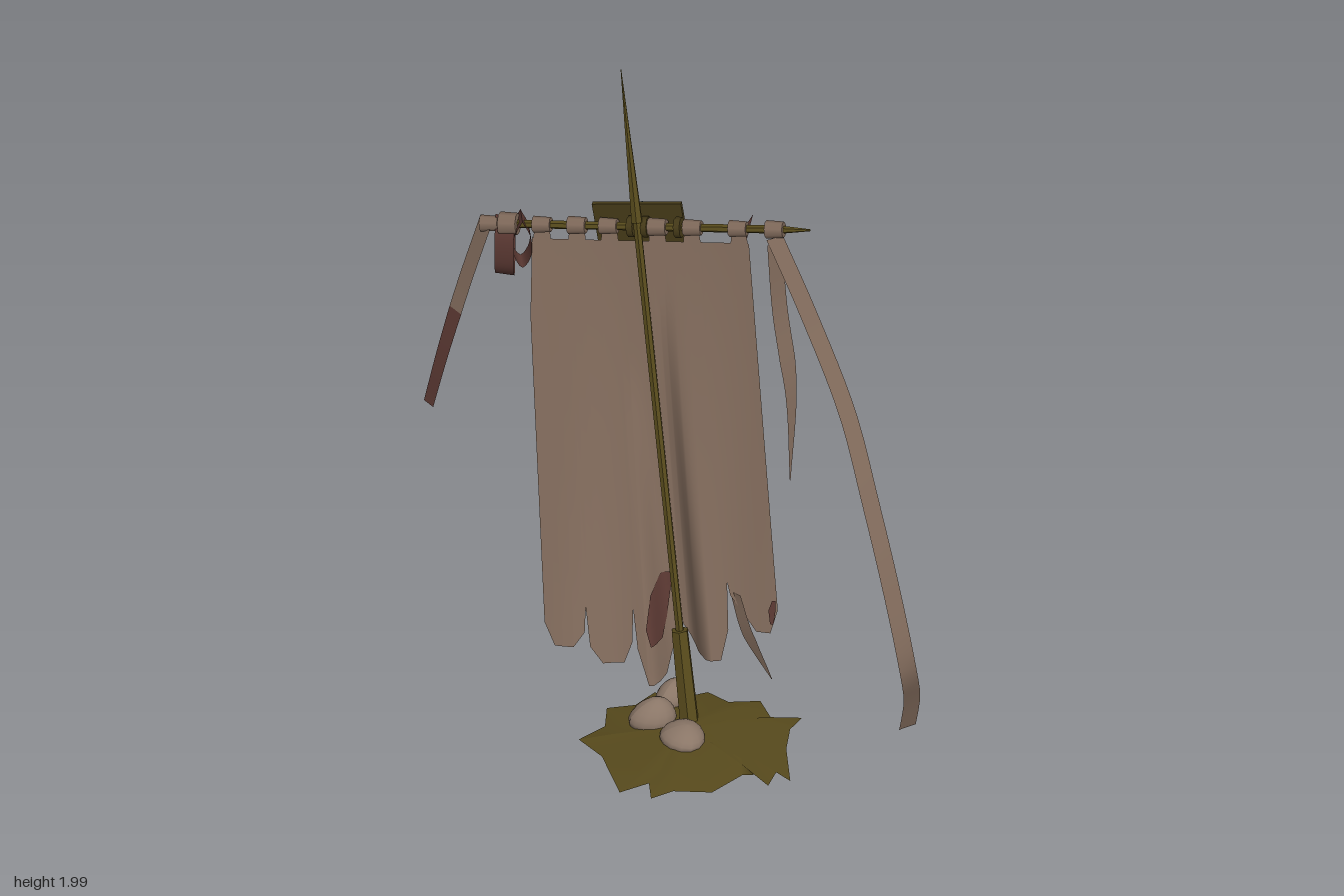
import * as THREE from 'three';

const mat = (name, color, extra = {}) => {
  const m = new THREE.MeshStandardMaterial({ color, ...extra });
  m.name = name;
  return m;
};
const two = { side: THREE.DoubleSide };
const cloth = mat('cloth', 0x7f695a, two);
const red = mat('dark red cloth', 0x5a3832, two);
const wood = mat('wood', 0x584b1c, { flatShading: true });
const grass = mat('grass', 0x56491c, two);
const stone = mat('stone', 0x8a7667);
const cover = mat('board frame', 0x453a18);
const tan = mat('parchment', 0xcda866);
const blue = mat('blue', 0x3f6a98);

const V = (x, y, z) => new THREE.Vector3(x, y, z);
const lerp = THREE.MathUtils.lerp;
const UP = V(0, 1, 0);

function add(parent, name, geo, material) {
  const m = new THREE.Mesh(geo, material);
  m.name = name;
  parent.add(m);
  return m;
}

// Straight tapered rod between two points
function rod(parent, name, a, b, r0, r1, material, sides = 6) {
  const d = b.clone().sub(a);
  const m = add(parent, name, new THREE.CylinderGeometry(r1, r0, d.length(), sides), material);
  m.position.copy(a).addScaledVector(d, 0.5);
  m.quaternion.setFromUnitVectors(UP, d.normalize());
}

// Surface from rows of points
function grid(rows) {
  const n = rows[0].length, pos = [], idx = [];
  rows.forEach((row, i) => row.forEach((p, j) => {
    pos.push(p.x, p.y, p.z);
    if (i && j) {
      const d = i * n + j, c = d - 1, b = d - n, a = b - 1;
      idx.push(a, b, c, b, d, c);
    }
  }));
  const g = new THREE.BufferGeometry();
  g.setAttribute('position', new THREE.Float32BufferAttribute(pos, 3));
  g.setIndex(idx);
  g.computeVertexNormals();
  return g;
}

// Flat band along a curve; the width direction swings from w0 to w1
function ribbon(parent, name, pts, w0, w1, material, tip = 1, from = 0, to = 1) {
  const curve = new THREE.CatmullRomCurve3(pts.map(p => V(...p)));
  const rows = [];
  for (let i = 0; i <= 28; i++) {
    const t = lerp(from, to, i / 28), p = curve.getPointAt(t);
    const w = V(...w0).lerp(V(...w1), t).multiplyScalar(0.5 * (t > 0.5 ? lerp(1, tip, t * 2 - 1) : 1));
    rows.push([p.clone().sub(w), p.clone().add(w)]);
  }
  add(parent, name, grid(rows), material);
}

// Crossbar and leaning pole lines
const barAt = x => V(x, 1.528 + 0.152 * x, -0.275 + 0.2 * x);
const poleAt = y => V(0.062 - 0.111 * y, y, 0.04 - 0.207 * y);

// Depth of the hanging cloth, pressed back behind the pole
function clothZ(x, y) {
  const top = 1.46 + 0.15 * x;
  const t = THREE.MathUtils.clamp((top - y) / (top - 0.3), -0.1, 1.1);
  const z = lerp(-0.28 + 0.2 * x, 0.055 - 0.05 * Math.max(0, x), t) + 0.01 * Math.sin(x * 21 + 1) * t;
  const p = poleAt(y), k = Math.exp(-(((x - p.x) / 0.06) ** 4));
  return lerp(z, Math.min(z, p.z - 0.014), k);
}
const leftX = y => -0.41 + Math.max(0, 1.2 - y) * 0.07;
const rightX = y => 0.21 + (1.5 - y) * 0.09;

function sample(profile, u) {
  for (let i = 1; i < profile.length; i++) {
    const [a, ya] = profile[i - 1], [b, yb] = profile[i];
    if (u <= b) return lerp(ya, yb, (u - a) / (b - a));
  }
  return profile[profile.length - 1][1];
}

function clothGeometry() {
  // Torn lower edge: position across, height
  const hem = [[0, .37], [.04, .31], [.12, .31], [.17, .35], [.18, .42], [.19, .31], [.24, .26], [.33, .26],
    [.37, .32], [.38, .42], [.39, .3], [.43, .2], [.5, .2], [.54, .28], [.555, .4], [.58, .33], [.64, .27],
    [.74, .27], [.78, .36], [.79, .5], [.8, .46], [.9, .36], [.96, .36], [1, .43]];
  // Upper edge: drop below the crossbar, with tabs
  const head = [[0, .05]];
  for (const c of [.05, .21, .36, .58, .74, .96])
    head.push([c - .045, .055], [c - .035, .005], [c + .025, .005], [c + .035, .055]);
  head.push([1, .06]);
  const us = [...hem, ...head].map(p => p[0]);
  for (let i = 0; i <= 40; i++) us.push(i / 40);
  const cols = [...new Set(us)].filter(u => u <= 1).sort((a, b) => a - b);
  return grid(cols.map(u => {
    const y0 = sample(hem, u), y1 = barAt(lerp(-0.41, 0.21, u)).y - sample(head, u);
    return Array.from({ length: 33 }, (_, j) => {
      const y = lerp(y0, y1, j / 32), x = lerp(leftX(y), rightX(y), u);
      return V(x, y, clothZ(x, y));
    });
  }));
}

// Thin blot or patch following the cloth at an offset, from rows of [y, x from, x to]
function overlay(parent, name, spans, material, off) {
  const rows = [];
  for (let i = 1; i < spans.length; i++) for (let k = 0; k <= 4; k++) {
    const [y, a, b] = spans[i - 1].map((v, n) => lerp(v, spans[i][n], k / 4));
    rows.push(Array.from({ length: 17 }, (_, j) => {
      const x = lerp(a, b, j / 16);
      return V(x, y, clothZ(x, y) + off);
    }));
  }
  add(parent, name, grid(rows), material);
}

function buildBase(root) {
  const base = new THREE.Group();
  base.name = 'base';
  root.add(base);
  // Ragged grass sheet
  const rim = [[-.25, .12], [-.18, .2], [-.12, .375], [-.04, .325], [-.03, .4], [.03, .36], [.14, .36], [.22, .27],
    [.28, .25], [.295, .3], [.315, .22], [.355, .25], [.335, .1], [.34, 0], [.37, -.07], [.29, -.02], [.25, -.1],
    [.16, -.09], [.1, -.135], [.02, -.1], [-.05, -.125], [-.1, -.06], [-.18, -.04], [-.18, .05]];
  const ring = s => [...rim, rim[0]].map(([x, z]) =>
    V(lerp(0.05, x, s), 0.06 - s * s * (0.026 + Math.max(0, x - 0.25) * 0.27), lerp(0.08, z, s)));
  add(base, 'grass', grid([0.001, 0.35, 0.7, 1].map(ring)), grass);
  // Low stones round the foot, narrowing toward the top
  for (const [x, y, z, a, b, c, r] of [[.045, .067, .125, .062, .034, .072, .2], [-.045, .072, .035, .068, .05, .055, .5],
    [.005, .065, -.08, .058, .042, .045, 1]]) {
    const g = new THREE.SphereGeometry(1, 14, 10), p = g.attributes.position;
    for (let i = 0; i < p.count; i++) {
      const k = 1 - 0.25 * p.getY(i);
      p.setX(i, p.getX(i) * k + 0.15 * p.getY(i));
      p.setZ(i, p.getZ(i) * k * (1 + 0.12 * p.getX(i)));
    }
    g.computeVertexNormals();
    const m = add(base, 'stone', g, stone);
    m.position.set(x, y, z);
    m.scale.set(a, b, c);
    m.rotation.set(0, r, -0.12);
  }
}

function buildFrame(root) {
  rod(root, 'poleFoot', poleAt(0.04), poleAt(0.32), 0.029, 0.025, wood);
  rod(root, 'pole', poleAt(0.3), poleAt(1.56), 0.012, 0.012, wood);
  rod(root, 'poleSpike', poleAt(1.54), poleAt(1.995), 0.017, 0.001, wood);
  rod(root, 'crossbar', barAt(-0.55), barAt(0.3), 0.012, 0.012, wood);
  rod(root, 'crossbarTip', barAt(0.3), barAt(0.385), 0.012, 0.003, wood);
  // Cloth wraps on the crossbar and lashing at the crossing
  for (const [x, r] of [[-.53, .024], [-.475, .034], [-.38, .024], [-.28, .026], [-.19, .024], [-.05, .026],
    [.05, .024], [.18, .024], [.285, .026]])
    rod(root, 'tabLoop', barAt(x - 0.025), barAt(x + 0.025), r, r - 0.003, cloth, 8);
  for (const x of [-.125, -.085, .01])
    rod(root, 'lashing', barAt(x - 0.009), barAt(x + 0.009), 0.03, 0.03, cover, 8);
}

function buildBoard(root) {
  const g = new THREE.Group();
  g.name = 'board';
  g.position.set(-0.1, 1.485, -0.33);
  g.rotation.set(0, -0.16, 0.15);
  root.add(g);
  add(g, 'boardFrame', new THREE.BoxGeometry(0.26, 0.168, 0.014), cover);
  for (const s of [-1, 1])
    add(g, 'page', new THREE.BoxGeometry(0.122, 0.156, 0.008), tan).position.set(s * 0.0625, 0, -0.0105);
  // Slanting blue band
  for (let i = 0; i < 5; i++) {
    const m = add(g, 'blueMark', new THREE.BoxGeometry(0.02, 0.032, 0.004), blue);
    m.position.set(0.012 - i * 0.007 + (i % 2) * 0.01, 0.06 - i * 0.025, -0.0165);
    m.rotation.z = i % 2 ? 0.2 : -0.45;
  }
}

function buildRibbons(root) {
  // Pale ribbons on the left end
  ribbon(root, 'longRibbon', [[.285, 1.555, -.2], [.38, 1.35, -.14], [.5, 1.07, -.04], [.57, .84, .06], [.635, .6, .15],
    [.685, .36, .2], [.692, .22, .14], [.677, .1, .1]], [.045, 0, -.025], [.045, 0, -.03], cloth);
  ribbon(root, 'shortRibbon', [[.285, 1.54, -.2], [.3, 1.33, -.18], [.335, 1.08, -.13], [.335, .8, -.09]],
    [.04, 0, -.035], [.04, 0, -.04], cloth, 0.05);
  ribbon(root, 'hemShred', [[.185, .47, 0], [.22, .35, .02], [.29, .2, .03]], [.03, 0, .02], [.045, 0, .02], cloth, 0.05);
  // Right tail, stained toward the end
  const tail = [[-.54, 1.46, -.385], [-.6, 1.27, -.34], [-.655, 1.08, -.28], [-.695, .92, -.24]];
  ribbon(root, 'tailUpper', tail, [.035, 0, .042], [.035, 0, .042], cloth, 0.8, 0, 0.5);
  ribbon(root, 'tailLower', tail, [.035, 0, .042], [.035, 0, .042], red, 0.8, 0.5, 1);
  // Red swag behind the cloth
  ribbon(root, 'swag', [[.2, 1.55, -.265], [.16, 1.36, -.265], [.06, 1.2, -.27], [-.08, 1.15, -.285], [-.22, 1.18, -.315],
    [-.34, 1.3, -.36], [-.43, 1.47, -.385]], [.04, .065, -.02], [-.04, .065, -.02], red);
  // Red loops over the bar, one broad to the front and one to the side
  for (const [x, low, w, dx, dz] of [[-.487, 1.28, [.055, 0, .01], 0, .036], [-.44, 1.33, [.01, 0, .065], .024, 0]]) {
    const b = barAt(x), z = b.z - 0.005;
    const at = (y, s) => [x + s * dx, y, z + s * dz];
    ribbon(root, 'redLoop', [at(b.y + .025, 0), at(b.y - .03, 1), at(low + .04, 1), at(low, 0),
      at(low + .04, -1), at(b.y - .03, -1), at(b.y + .025, 0)], w, w, red);
  }
}

export function createModel() {
  const root = new THREE.Group();
  root.name = 'tatteredBanner';
  buildBase(root);
  buildFrame(root);
  add(root, 'bannerCloth', clothGeometry(), cloth);
  // Sewn patch and its seam
  overlay(root, 'backPatch', [[.7, -.375, .03], [.5, -.36, .02], [.4, -.35, 0]], cloth, -0.018);
  overlay(root, 'patchSeam', [[.703, -.375, .03], [.695, -.375, .03]], cover, -0.021);
  // Dripping stains
  const stains = [
    [[1.48, .05, .1], [1.44, .04, .11], [1.41, .06, .1]],
    [[1.38, .1, .14], [1.35, .1, .17], [1.3, .11, .15], [1.26, .08, .16], [1.2, .1, .13]],
    [[1.1, -.08, -.02], [1.03, -.06, .01], [.97, -.04, .0], [.93, -.06, .015], [.87, -.03, .01], [.84, -.02, 0]]];
  for (const s of stains) overlay(root, 'backStain', s, red, -0.006);
  const hemStain = [[.49, -.03, 0], [.45, -.055, 0], [.36, -.065, -.01], [.31, -.05, -.02]];
  overlay(root, 'hemStainBack', [[.54, -.06, -.02], ...hemStain], red, -0.024);
  overlay(root, 'hemStain', hemStain, red, 0.006);
  overlay(root, 'cornerStain', [[.46, .29, .3], [.43, .28, .3], [.39, .285, .295]], red, 0.005);
  buildRibbons(root);
  buildBoard(root);
  return root;
}
